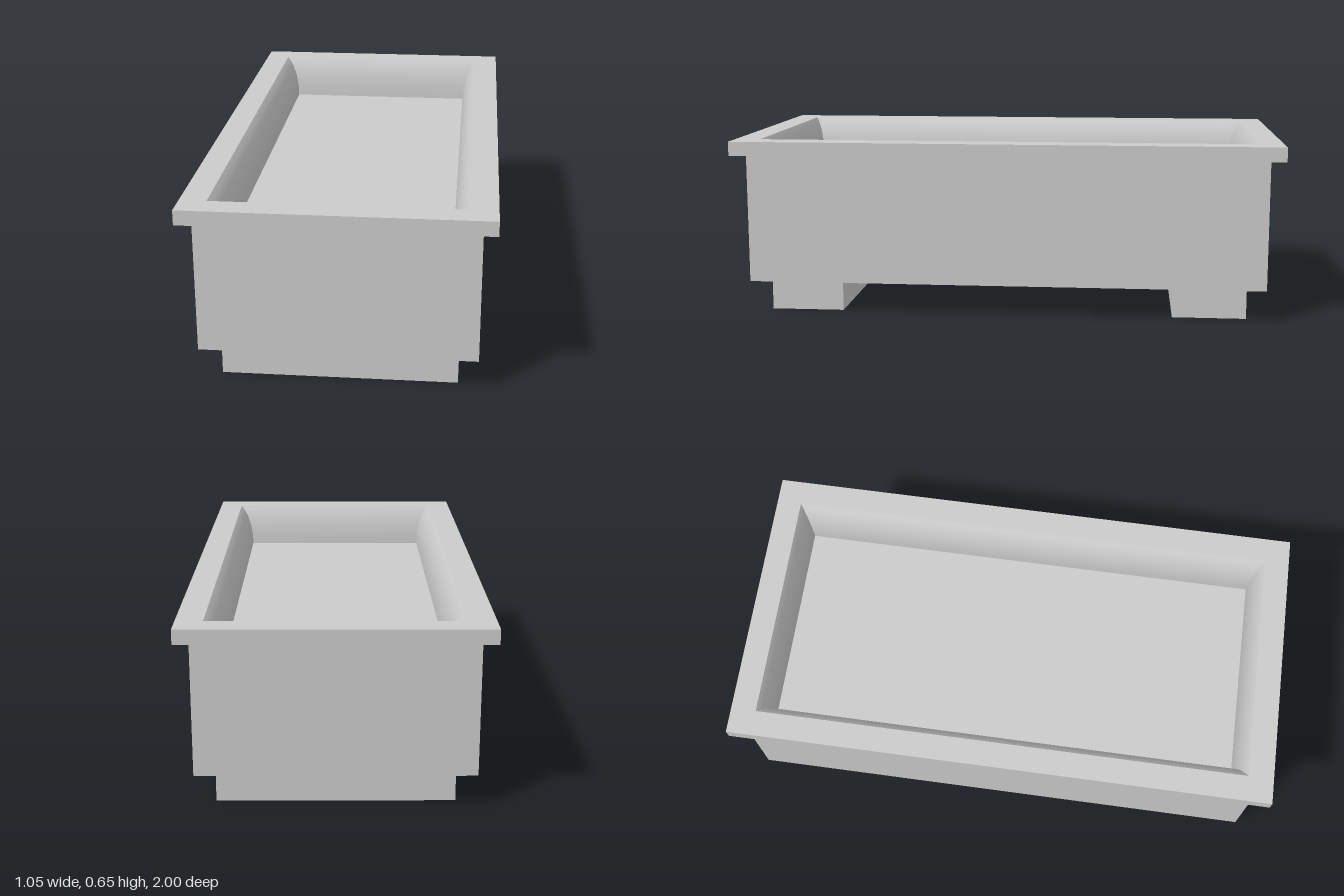
import * as THREE from 'three';
import { toCreasedNormals } from 'three/addons/utils/BufferGeometryUtils.js';

const material = new THREE.MeshStandardMaterial({ color: 0xcccccc });

// Skins a stack of rectangles, each given as [half width, half length, height].
function rectangularSkin(name, loops) {
  const corners = [[1, 1], [1, -1], [-1, -1], [-1, 1]];
  const positions = [];
  const point = ([w, l, y], k) => [corners[k % 4][0] * w, y, corners[k % 4][1] * l];
  for (let i = 0; i < loops.length - 1; i++) {
    const lower = loops[i], upper = loops[i + 1];
    for (let k = 0; k < 4; k++) {
      const a = point(lower, k), b = point(lower, k + 1);
      const c = point(upper, k + 1), d = point(upper, k);
      if (lower[0] > 0) positions.push(...a, ...b, ...c);
      if (upper[0] > 0) positions.push(...a, ...c, ...d);
    }
  }
  const geometry = new THREE.BufferGeometry();
  geometry.setAttribute('position', new THREE.Float32BufferAttribute(positions, 3));
  const mesh = new THREE.Mesh(toCreasedNormals(geometry, 0.5), material);
  mesh.name = name;
  return mesh;
}

export function createModel() {
  const group = new THREE.Group();
  group.name = 'trough';

  const bodyBottom = 0.12, rimBottom = 0.595, rimTop = 0.647, floorY = 0.48;

  // Outer walls and underside
  group.add(rectangularSkin('body', [
    [0, 0, bodyBottom], [0.475, 0.95, bodyBottom], [0.475, 0.95, rimBottom],
  ]));

  // Overhanging flat rim
  group.add(rectangularSkin('rim', [
    [0.475, 0.95, rimBottom], [0.523, 1, rimBottom],
    [0.523, 1, rimTop], [0.43, 0.908, rimTop],
  ]));

  // Recess whose walls roll over from the rim and drop to a flat floor
  const wall = new THREE.QuadraticBezierCurve3(
    new THREE.Vector3(0.43, 0.908, rimTop),
    new THREE.Vector3(0.377, 0.867, rimTop - 0.055),
    new THREE.Vector3(0.377, 0.867, floorY),
  );
  group.add(rectangularSkin('basin', [
    ...wall.getPoints(10).map((p) => p.toArray()), [0, 0, floorY],
  ]));

  // Two cross blocks underneath
  for (const side of [1, -1]) {
    const foot = new THREE.Mesh(new THREE.BoxGeometry(0.814, bodyBottom, 0.27), material);
    foot.name = side > 0 ? 'frontFoot' : 'backFoot';
    foot.position.set(0, bodyBottom / 2, side * 0.75);
    group.add(foot);
  }
  return group;
}
